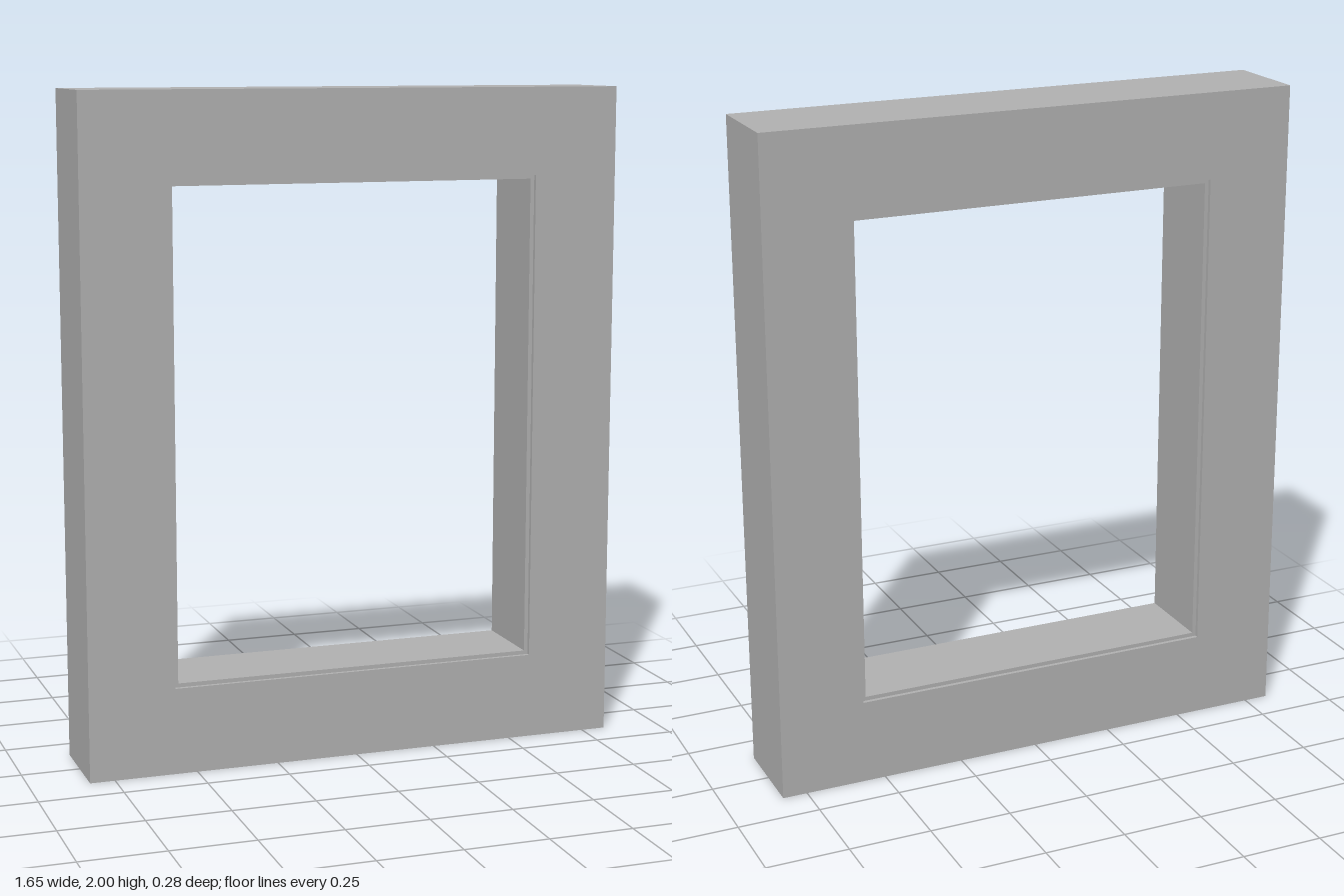
import * as THREE from 'three';

const HALF_W = 0.825, HALF_H = 1, HALF_D = 0.14;
const BORDER = 0.26, LIP = 0.012, RECESS = 0.012;

// Sweep a closed (inset, z) profile around a rectangle with mitred corners.
function sweepFrame(profile) {
  const corners = [[1, 1], [-1, 1], [-1, -1], [1, -1]];
  const point = (i, j) => {
    const [sx, sy] = corners[i % corners.length];
    const [inset, z] = profile[j % profile.length];
    return [sx * (HALF_W - inset), HALF_H + sy * (HALF_H - inset), z];
  };
  const positions = [];
  for (let i = 0; i < corners.length; i++) {
    for (let j = 0; j < profile.length; j++) {
      const a = point(i, j), b = point(i + 1, j);
      const c = point(i + 1, j + 1), d = point(i, j + 1);
      positions.push(...a, ...b, ...c, ...a, ...c, ...d);
    }
  }
  const geometry = new THREE.BufferGeometry();
  geometry.setAttribute('position', new THREE.Float32BufferAttribute(positions, 3));
  geometry.computeVertexNormals();
  return geometry;
}

export function createModel() {
  const group = new THREE.Group();
  group.name = 'windowFrame';

  const grey = new THREE.MeshStandardMaterial({ color: 0xb2b2b2 });
  grey.name = 'grey';

  // Thick border with a small stepped lip around the opening, front and back
  const lipZ = HALF_D - RECESS;
  const profile = [
    [0, -HALF_D], [0, HALF_D],
    [BORDER, HALF_D], [BORDER, lipZ],
    [BORDER + LIP, lipZ], [BORDER + LIP, -lipZ],
    [BORDER, -lipZ], [BORDER, -HALF_D],
  ];
  const frame = new THREE.Mesh(sweepFrame(profile), grey);
  frame.name = 'frame';
  group.add(frame);

  return group;
}
